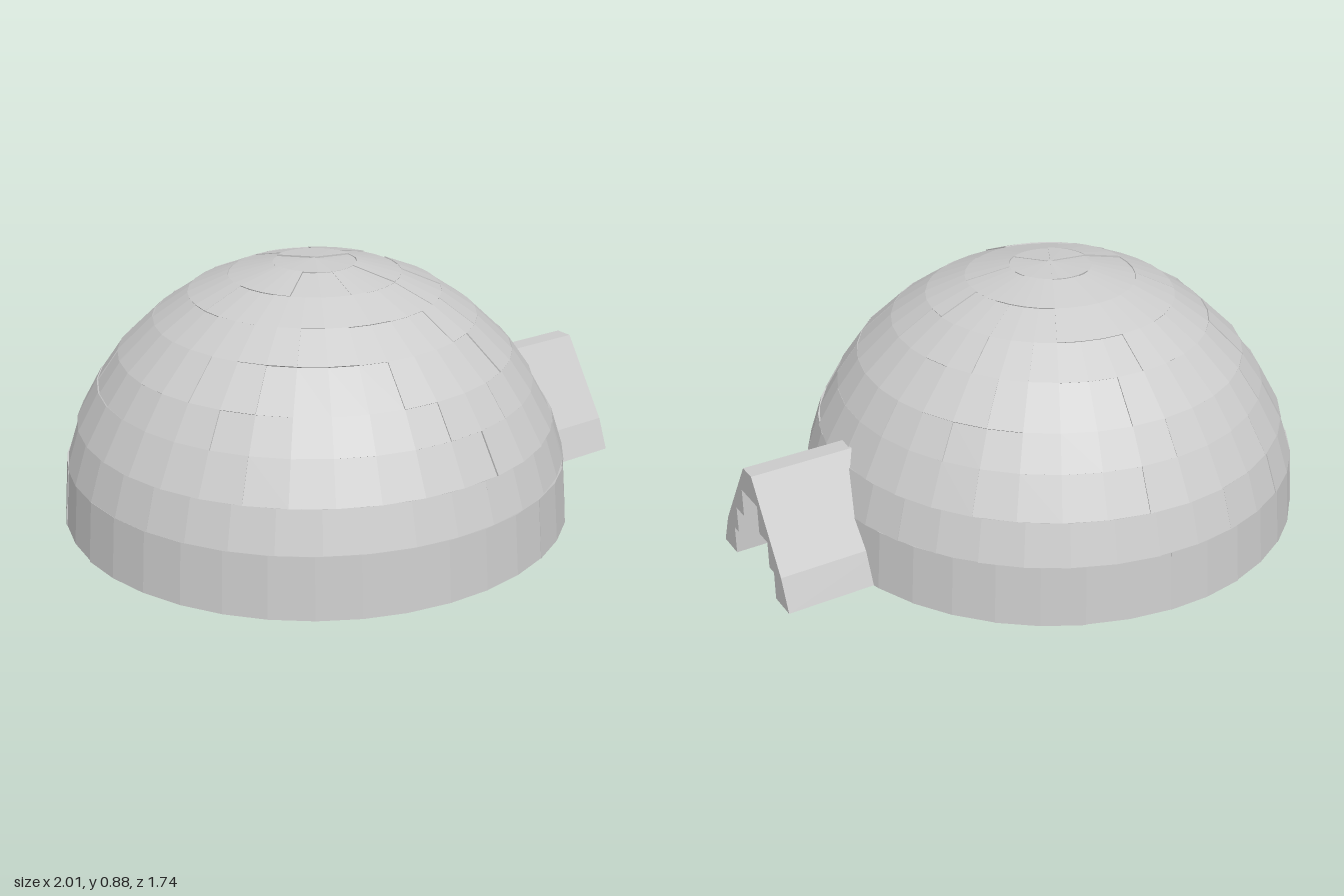
import * as THREE from 'three';

const CENTER_X = -0.135;
const INNER = 0.88; // inner shell as a fraction of the outer one
const DOOR_Z = 0.02;

// Dome courses: bottom and top [radius, height], block count, half angle of the door gap
const LEVELS = [[0.87, 0], [0.853, 0.205], [0.81, 0.34], [0.738, 0.47], [0.665, 0.575],
  [0.545, 0.69], [0.425, 0.772], [0.29, 0.83], [0.14, 0.868], [0, 0.878]];
const BLOCKS = [18, 18, 18, 18, 18, 18, 12, 9, 6];
const FACETS = [2, 2, 2, 2, 2, 2, 3, 4, 6];
const DOOR_GAP = [0.165, 0.08];

function seeded(seed) {
  return () => (seed = (seed * 16807) % 2147483647) / 2147483647;
}

// One closed snow block, cut radially from the shell
function blockGeometry([r0, y0], [r1, y1], a0, a1, facets, scale) {
  const positions = [];
  const quad = (a, b, c, d) => {
    for (const p of [a, b, c, a, c, d]) positions.push(...p);
  };
  const corners = (a) => [[r0, y0, scale], [r1, y1, scale], [r1, y1, INNER * scale], [r0, y0, INNER * scale]]
    .map(([r, y, k]) => [r * k * Math.cos(a), y * k, r * k * Math.sin(a)]);
  for (let i = 0; i < facets; i++) {
    const p = corners(a0 + (a1 - a0) * i / facets);
    const q = corners(a0 + (a1 - a0) * (i + 1) / facets);
    quad(p[0], p[1], q[1], q[0]); // outside
    quad(p[3], q[3], q[2], p[2]); // inside
    quad(p[0], q[0], q[3], p[3]); // underside
    quad(p[1], p[2], q[2], q[1]); // top
    if (i === 0) quad(p[0], p[3], p[2], p[1]);
    if (i === facets - 1) quad(q[0], q[1], q[2], q[3]);
  }
  const geometry = new THREE.BufferGeometry();
  geometry.setAttribute('position', new THREE.Float32BufferAttribute(positions, 3));
  geometry.computeVertexNormals();
  return geometry;
}

function createDome(material) {
  const dome = new THREE.Group();
  dome.name = 'dome';
  dome.position.x = CENTER_X;
  const random = seeded(41);
  BLOCKS.forEach((count, row) => {
    const course = new THREE.Group();
    course.name = `blockCourse${row + 1}`;
    const gap = DOOR_GAP[row] || 0;
    const start = gap + (gap ? DOOR_Z / 0.85 : row % 2 * Math.PI / count);
    const step = (Math.PI * 2 - gap * 2) / count;
    for (let i = 0; i < count; i++) {
      const scale = 1 + (random() - 0.5) * 0.008;
      const block = new THREE.Mesh(blockGeometry(LEVELS[row], LEVELS[row + 1],
        start + i * step, start + (i + 1) * step, FACETS[row], scale), material);
      block.name = 'snowBlock';
      course.add(block);
    }
    dome.add(course);
  });
  return dome;
}

// Tunnel: a peaked outline with a stepped passage, run through the wall
function createTunnel(material) {
  const half = [[0.032, 0.39], [0.216, 0.11], [0.26, 0], [0.16, 0], [0.16, 0.1],
    [0.125, 0.1], [0.125, 0.195], [0.062, 0.195], [0.062, 0.295]];
  const mirrored = half.map(([x, y]) => [-x, y]).reverse();
  const shape = new THREE.Shape([...half, ...mirrored].map(([x, y]) => new THREE.Vector2(x, y)));
  const inner = 0.6;
  const geometry = new THREE.ExtrudeGeometry(shape, { depth: 1 - inner, bevelEnabled: false });
  geometry.rotateY(Math.PI / 2).translate(inner, 0, DOOR_Z);
  const tunnel = new THREE.Mesh(geometry, material);
  tunnel.name = 'entranceTunnel';
  return tunnel;
}

export function createModel() {
  const material = new THREE.MeshStandardMaterial({ color: 0xcccccc, flatShading: true });
  const igloo = new THREE.Group();
  igloo.name = 'igloo';
  igloo.add(createDome(material), createTunnel(material));
  return igloo;
}
